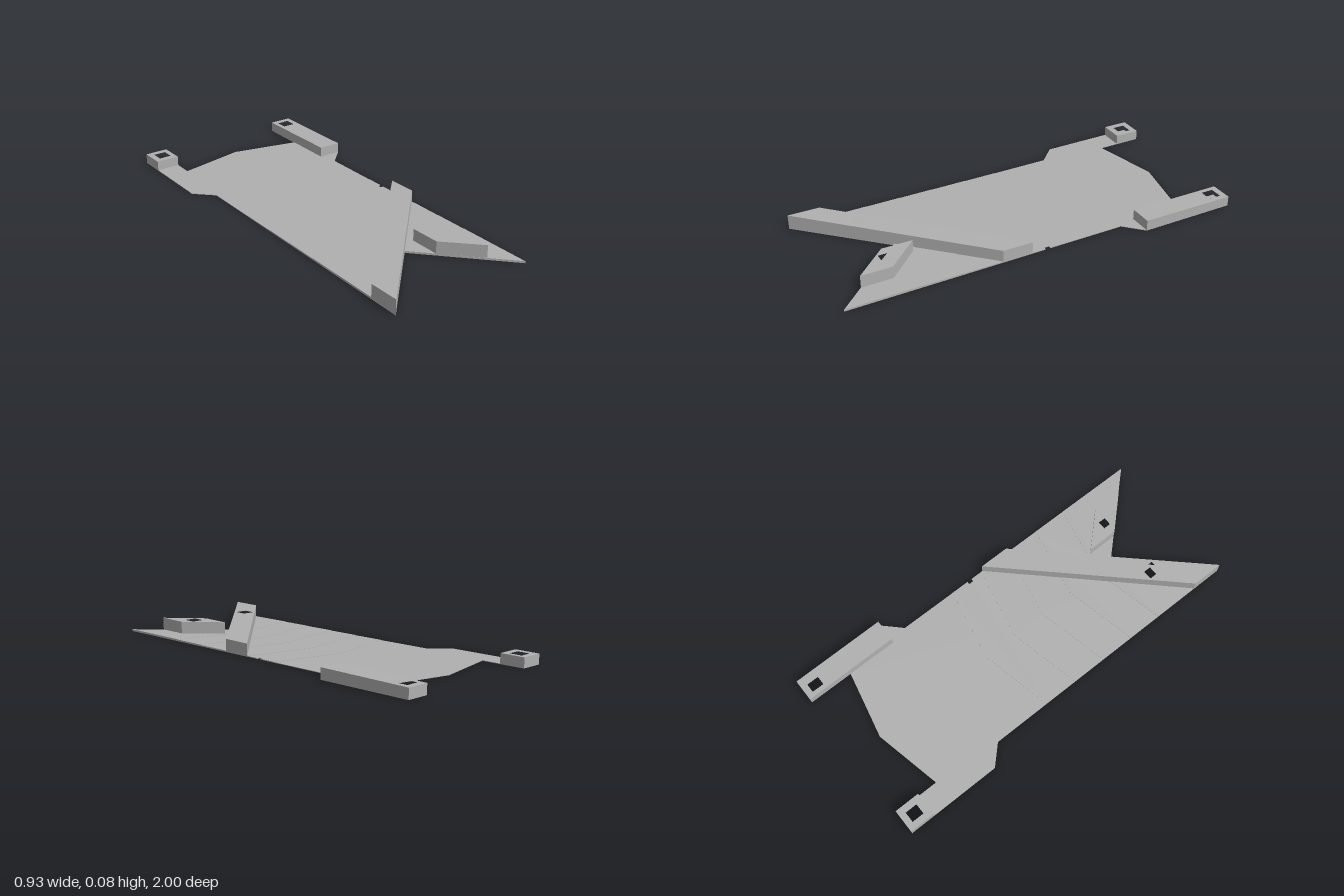
import * as THREE from 'three';

const HOLE = 0.032; // half width of the square holes

// Horizontal slab from [x, z] outline points, with square holes at [x, z]
function slab(name, points, y0, height, holes, material) {
  const toShape = ([x, z]) => new THREE.Vector2(x, -z);
  const shape = new THREE.Shape(points.map(toShape));
  for (const [x, z] of holes) {
    const corners = [[x - HOLE, z - HOLE], [x + HOLE, z - HOLE], [x + HOLE, z + HOLE], [x - HOLE, z + HOLE]];
    shape.holes.push(new THREE.Path(corners.map(toShape)));
  }
  const geometry = new THREE.ExtrudeGeometry(shape, { depth: 1, bevelEnabled: false });
  geometry.rotateX(-Math.PI / 2);
  // Height may be a number or a rule of z for gently sloping tops
  const p = geometry.attributes.position;
  for (let i = 0; i < p.count; i++) {
    const h = typeof height === 'function' ? height(p.getZ(i)) : height;
    p.setY(i, y0 + p.getY(i) * h);
  }
  geometry.computeVertexNormals();
  const mesh = new THREE.Mesh(geometry, material);
  mesh.name = name;
  return mesh;
}

export function createModel() {
  const model = new THREE.Group();
  model.name = 'plateWithRails';
  const grey = new THREE.MeshStandardMaterial({ color: 0xb0b0b0 });
  grey.name = 'plain grey';

  const frontHoles = [[-0.18, 0.715], [0.175, 0.715]];
  const backHoles = [[-0.402, -0.936], [0.4, -0.936]];
  const edgeNotch = [[0.37, -0.025], [0.355, -0.025], [0.355, 0], [0.37, 0]];
  const tail = [[0.37, 1], [0, 0.61], [-0.375, 1]];

  // Thin base plate with back arms, edge notch and forked front
  model.add(slab('basePlate', [
    [-0.465, -1], [-0.345, -1], [-0.345, -0.77], [0, -0.845], [0.345, -0.77], [0.345, -1],
    [0.46, -1], [0.46, -0.51], [0.37, -0.42], ...edgeNotch, ...tail, [-0.375, -0.42], [-0.465, -0.51],
  ], 0, 0.003, [...frontHoles, ...backHoles], grey));

  // Very shallow chevron steps that thicken the plate towards the front
  const step = 0.0014;
  for (let i = 0; i < 5; i++) {
    const z = -0.12 + i * 0.18;
    model.add(slab('chevronStep' + (i + 1), [
      [0, z - 0.08], [0.37, z], ...(i === 0 ? edgeNotch : []), ...tail, [-0.375, z],
    ], 0.003 + i * step, step, frontHoles, grey));
  }

  // Raised rails and blocks, their tops rising slightly towards the front
  const frontTop = z => 0.0635 + (z - 0.07) * 0.0127;
  const backTop = z => 0.051 + (z + 1) * 0.01;
  model.add(slab('diagonalRail',
    [[-0.375, 0.84], [0.37, 0.07], [0.37, 0.225], [0, 0.61], [-0.375, 1]],
    0, frontTop, [frontHoles[0]], grey));
  model.add(slab('frontBlock',
    [[0.097, 0.555], [0.255, 0.72], [0.255, 0.877], [0.097, 0.712]],
    0, frontTop, [frontHoles[1]], grey));
  model.add(slab('backLeftRail',
    [[0.345, -1], [0.46, -1], [0.46, -0.51], [0.345, -0.51]],
    0, backTop, [backHoles[1]], grey));
  model.add(slab('backRightBlock',
    [[-0.465, -1], [-0.345, -1], [-0.345, -0.87], [-0.465, -0.87]],
    0, backTop, [backHoles[0]], grey));

  return model;
}
